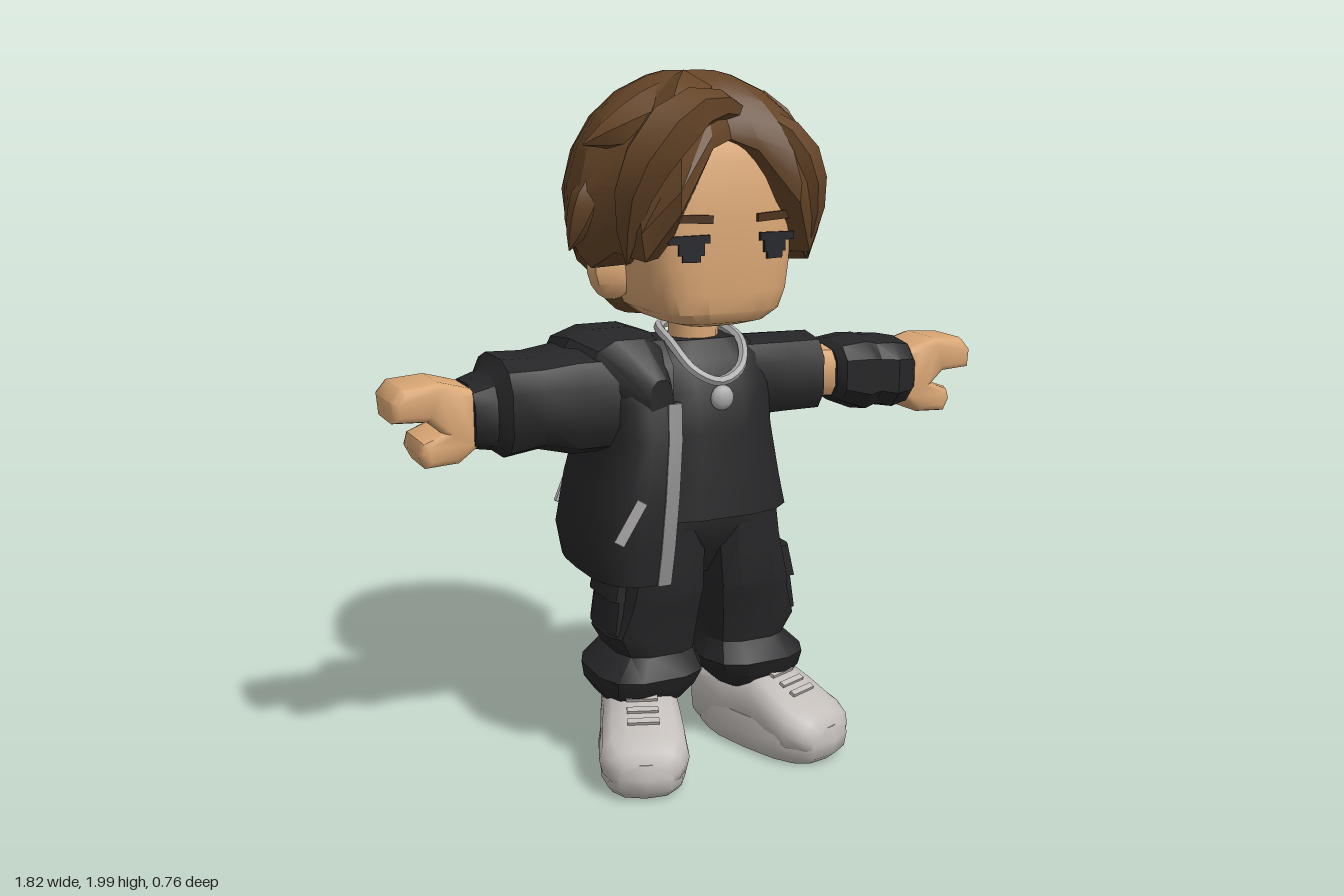
import * as THREE from 'three';
import { toCreasedNormals } from 'three/addons/utils/BufferGeometryUtils.js';

const V = (x, y, z) => new THREE.Vector3(x, y, z);
const mat = (name, color) => new THREE.MeshStandardMaterial({ name, color });

// Skin through rows of points; optionally wraps around and closes the ends.
function loft(rows, closed = true, caps = true) {
  const n = rows[0].length, pos = [], idx = [];
  rows.forEach(r => r.forEach(p => pos.push(p.x, p.y, p.z)));
  for (let r = 0; r < rows.length - 1; r++) {
    for (let i = 0; i < (closed ? n : n - 1); i++) {
      const a = r * n + i, b = r * n + (i + 1) % n;
      idx.push(a, a + n, b, b, a + n, b + n);
    }
  }
  if (caps) [0, rows.length - 1].forEach(r => {
    const c = rows[r].reduce((s, p) => s.add(p), V(0, 0, 0)).divideScalar(n);
    const k = pos.length / 3;
    pos.push(c.x, c.y, c.z);
    for (let i = 0; i < n; i++) {
      const a = r * n + i, b = r * n + (i + 1) % n;
      if (r) idx.push(k, b, a); else idx.push(k, a, b);
    }
  });
  const g = new THREE.BufferGeometry();
  g.setAttribute('position', new THREE.Float32BufferAttribute(pos, 3));
  g.setIndex(idx);
  return g;
}

// Rounded-square sections along an axis, in ascending order.
// y: [y, cx, cz, hx, hz]   x: [x, cy, cz, hy, hz]   z: [z, cx, cy, hx, hy]
function tube(axis, sections, n = 12, p = 3) {
  const pw = v => Math.sign(v) * Math.abs(v) ** (2 / p);
  return loft(sections.map(([s, c1, c2, h1, h2]) => Array.from({ length: n }, (_, i) => {
    const a = (i + 0.5) / n * Math.PI * 2, c = pw(Math.cos(a)), d = pw(Math.sin(a));
    if (axis === 'y') return V(c1 + h1 * c, s, c2 + h2 * d);
    if (axis === 'x') return V(s, c1 + h1 * d, c2 + h2 * c);
    return V(c1 + h1 * d, c2 + h2 * c, s);
  })));
}

// Tapered strand along a path.
function strand(points, radius) {
  const curve = new THREE.CatmullRomCurve3(points.map(p => V(...p)));
  const g = new THREE.TubeGeometry(curve, 7, radius, 6), q = g.attributes.position;
  for (let i = 0; i < q.count; i++) {
    const t = Math.floor(i / 7) / 7, c = curve.getPointAt(t);
    const w = t < 0.4 ? 0.3 + 1.75 * t : 1.03 - ((t - 0.4) / 0.6) ** 2;
    const v = V(0, 0, 0).fromBufferAttribute(q, i).sub(c).multiplyScalar(w).add(c);
    q.setXYZ(i, v.x, v.y, v.z);
  }
  return g;
}

function mirrored(geo) {
  const g = geo.index ? geo.toNonIndexed() : geo.clone(), q = g.attributes.position;
  for (let i = 0; i < q.count; i += 3) {
    const [a, b, c] = [0, 1, 2].map(k => V(0, 0, 0).fromBufferAttribute(q, i + k));
    [a, c, b].forEach((v, k) => q.setXYZ(i + k, -v.x, v.y, v.z));
  }
  return g;
}

export function createModel() {
  const root = new THREE.Group();
  root.name = 'figure';
  const skin = mat('skin', 0xd9a674), brown = mat('hair brown', 0x644427);
  const black = mat('black cloth', 0x262628), grey = mat('shoe grey', 0xc2bdb9);
  const silver = mat('silver', 0xacaaaa), metal = mat('zip grey', 0x8c8a8a), tape = mat('zip tape', 0x5a5858);
  const dark = mat('eye dark', 0x27282d), browMat = mat('brow brown', 0x4c331c);

  const add = (name, geo, m, crease = 0.65) => {
    const g = geo.index ? geo.toNonIndexed() : geo;
    g.deleteAttribute('uv');
    const mesh = new THREE.Mesh(toCreasedNormals(g, crease), m);
    mesh.name = name;
    root.add(mesh);
  };
  const pair = (name, geo, m, crease) => {
    add('left' + name, geo, m, crease);
    add('right' + name, mirrored(geo), m, crease);
  };

  // Head and face
  add('head', tube('y', [[1.3, 0, .05, .09, .12], [1.315, 0, .04, .145, .18], [1.345, 0, .037, .187, .207],
    [1.4, 0, .033, .21, .215], [1.47, 0, .03, .22, .22], [1.6, 0, .03, .23, .22], [1.75, 0, .03, .22, .2],
    [1.82, 0, .02, .19, .185], [1.9, 0, 0, .12, .12]], 24, 4), skin);
  add('neck', new THREE.CylinderGeometry(.07, .075, .18, 10).translate(0, 1.25, 0), skin);
  pair('Ear', new THREE.SphereGeometry(1, 10, 8).scale(.07, .09, .055).rotateZ(-.15).translate(.242, 1.45, -.03), skin);
  const plate = (w, h, x, y, z, tilt = 0) =>
    new THREE.BoxGeometry(w, h, .009).rotateZ(tilt).rotateY(.18).translate(x, y, z);
  pair('EyeLid', plate(.115, .022, .132, 1.55, .249, -.03), dark);
  pair('Iris', plate(.072, .04, .125, 1.528, .249), dark);
  pair('IrisBase', plate(.05, .02, .125, 1.5, .249), dark);
  pair('Brow', plate(.125, .022, .128, 1.605, .249, .04), browMat);

  // Hair cap: [radius, hem height] every 15 degrees, from the front round by the left
  const cols = [[.285, 1.81], [.31, 1.78], [.36, 1.64], [.375, 1.5], [.365, 1.47], [.36, 1.54], [.375, 1.48], [.365, 1.51],
    [.375, 1.46], [.375, 1.42], [.39, 1.44], [.38, 1.41], [.39, 1.42], [.38, 1.4], [.39, 1.44], [.375, 1.42],
    [.375, 1.46], [.37, 1.51], [.385, 1.5], [.405, 1.47], [.4, 1.52], [.415, 1.5], [.41, 1.63], [.34, 1.79]].reverse();
  const hairRow = (t, inset) => cols.map(([r, hem], i) => {
    const a = (23 - i) * Math.PI / 12, y = hem + (1.99 - hem) * Math.sin(t * Math.PI / 2);
    const u = (y - 1.62) / .375, lean = u > 0 ? .045 * u * u : 0;
    const f = r * inset * (u > 0 ? Math.sqrt(Math.max(0, 1 - u * u)) : 1 + u * .2);
    return V(Math.sin(a) * f - lean * .8, y, Math.cos(a) * f + lean);
  });
  add('hairCap', loft([hairRow(0, .55), hairRow(0, .97), ...[.1, .25, .4, .55, .7, .85, .95].map(t => hairRow(t, 1))]),
    brown, .4);
  add('napeHair', tube('y', [[1.31, 0, -.14, .17, .09], [1.34, 0, -.14, .2, .11], [1.46, 0, -.15, .22, .15]], 12, 3), brown);
  [
    [[[.04, 1.88, .2], [-.1, 1.9, .27], [-.23, 1.82, .3], [-.3, 1.68, .27], [-.3, 1.49, .22]], .075],
    [[[0, 1.91, .05], [-.18, 1.87, .15], [-.31, 1.83, .17], [-.39, 1.8, .15]], .08],
    [[[.05, 1.88, .17], [.14, 1.84, .23], [.22, 1.7, .25], [.24, 1.48, .22]], .06],
    [[[-.31, 1.76, .1], [-.365, 1.63, .1], [-.41, 1.52, .09]], .05],
    [[[.02, 1.92, -.05], [-.08, 1.91, .12], [-.18, 1.85, .26], [-.23, 1.73, .32]], .085],
    [[[.06, 1.9, -.1], [.13, 1.89, .04], [.21, 1.81, .15], [.28, 1.66, .18]], .065],
  ].forEach(([p, r], i) => add('hairLock' + (i + 1), strand(p, r), brown, .8));

  // Shirt, arms and hands
  add('shirt', tube('y', [[.76, 0, .012, .25, .212], [.85, 0, .01, .232, .202], [1, 0, .01, .207, .183],
    [1.12, 0, .01, .205, .163], [1.2, 0, 0, .2, .13], [1.25, 0, 0, .14, .09]], 16, 3), black);
  add('shirtSleeve', tube('x', [[.08, 1.12, 0, .12, .13], [.25, 1.12, 0, .117, .13], [.37, 1.118, 0, .117, .12]], 10), black);
  pair('Arm', tube('x', [[.3, 1.12, 0, .08, .085], [.7, 1.09, 0, .075, .085]], 10), skin);
  add('armWarmer', tube('x', [[.43, 1.11, 0, .08, .095], [.45, 1.11, 0, .095, .12], [.53, 1.1, 0, .117, .13],
    [.57, 1.1, 0, .105, .12], [.62, 1.095, -.005, .112, .145], [.68, 1.095, 0, .1, .12], [.7, 1.09, 0, .08, .1]], 10), black, .5);
  const hand = new THREE.Shape([[.67, 1.16], [.72, 1.175], [.78, 1.192], [.88, 1.185], [.91, 1.15], [.905, 1.09],
    [.81, 1.085], [.775, 1.055], [.83, 1.035], [.84, 1], [.82, .96], [.73, .965], [.67, 1.01]]
    .map(p => new THREE.Vector2(...p)));
  pair('Hand', new THREE.ExtrudeGeometry(hand, { depth: .13, bevelSize: .02, bevelThickness: .03, bevelOffset: -.02, bevelSegments: 2 })
    .translate(0, 0, -.065), skin, .8);

  // Half jacket: [y, open edge x, outer x, half depth]
  const jacket = [[.6, -.21, -.37, .245], [.7, -.2, -.39, .25], [.85, -.185, -.36, .248], [1, -.165, -.32, .225],
    [1.1, -.155, -.33, .2], [1.2, -.14, -.35, .165], [1.26, -.14, -.33, .1]];
  const panel = inset => ([y, edge, outer, hz]) => Array.from({ length: 13 }, (_, i) => {
    const a = Math.PI * (.5 + i / 12), c = Math.abs(Math.cos(a)) ** (2 / 3), s = Math.sin(a);
    return V(edge + (outer - edge + inset) * c, y, (hz - inset) * Math.sign(s) * Math.abs(s) ** (2 / 3));
  });
  add('jacketBody', loft([...jacket.map(panel(.02)).reverse(), ...jacket.map(panel(0))], false, false), black);
  add('jacketSleeve', tube('x', [[-.69, 1.085, 0, .09, .115], [-.63, 1.09, 0, .105, .125], [-.6, 1.1, -.005, .138, .165],
    [-.5, 1.105, -.005, .13, .155], [-.4, 1.1, -.005, .15, .165], [-.22, 1.1, 0, .15, .16]], 12), black);
  add('jacketHood', tube('z', [[-.265, -.225, 1.08, .11, .08], [-.22, -.24, 1.12, .16, .12], [-.1, -.26, 1.205, .165, .085],
    [.03, -.27, 1.23, .145, .065], [.12, -.25, 1.19, .11, .085], [.2, -.19, 1.11, .035, .06]], 10, 2.4), black, .5);
  // Zip strips on dark hems, front and back
  [['front', 1, metal], ['back', -1, tape]].forEach(([side, s, m]) => {
    const strip = (w, d, out) => tube('y', jacket.slice(0, 5).map(([y, e, , hz]) => [y, e + .002, s * (hz + out), w, d]), 8, 4);
    add(side + 'Hem', strip(.023, .015, -.012), black);
    add(side + 'Zip', strip(.021, .004, .004), m);
    add(side + 'PocketZip', new THREE.BoxGeometry(.03, .135, .009).rotateZ(-.5).rotateY(-.35 * s)
      .translate(-.305, .79, .243 * s), silver);
  });

  // Necklace
  const loop = [[0, 1.145, .177], [.07, 1.175, .16], [.105, 1.24, .09], [.07, 1.275, -.07], [-.07, 1.275, -.07],
    [-.105, 1.24, .09], [-.07, 1.175, .16]].map(p => V(...p));
  add('chain', new THREE.TubeGeometry(new THREE.CatmullRomCurve3(loop, true), 36, .015, 6, true), silver, 1);
  add('pendant', new THREE.SphereGeometry(.036, 10, 8).scale(1, 1, .6).translate(0, 1.1, .187), silver, 1);

  // Trousers
  add('hips', tube('y', [[.56, 0, .01, .05, .07], [.66, 0, .01, .18, .13], [.72, 0, .01, .235, .155], [.8, 0, .01, .22, .15]], 14), black);
  pair('TrouserLeg', tube('y', [[.19, .18, -.015, .115, .14], [.235, .175, -.01, .152, .163], [.28, .168, -.005, .166, .175],
    [.34, .148, -.01, .124, .14], [.4, .162, 0, .146, .14], [.48, .145, .012, .135, .142], [.53, .138, .015, .133, .152],
    [.66, .122, .01, .122, .15], [.76, .115, .01, .115, .15]], 12), black, .5);
  const pocket = (y, h, x, w) => tube('y', [[y, x, 0, w, .1], [y + h, x - .02, 0, w, .095]], 8, 5);
  pair('CargoPocket', pocket(.41, .15, .268, .035), black);
  pair('CargoFlap', pocket(.51, .095, .262, .042), black);

  // Shoes, toes turned out
  const place = g => g.rotateY(.36).translate(.198, 0, .052);
  pair('Shoe', place(tube('z', [[-.205, 0, .105, .08, .07], [-.18, 0, .12, .11, .108], [-.05, 0, .125, .115, .115],
    [.05, 0, .125, .118, .115], [.13, 0, .11, .125, .095], [.21, 0, .095, .128, .07], [.26, 0, .085, .105, .055],
    [.285, 0, .075, .07, .035]], 14, 2.8)), grey, .9);
  const sole = (y, k) => Array.from({ length: 16 }, (_, i) => {
    const a = i / 16 * Math.PI * 2, c = Math.cos(a), s = Math.sin(a), e = 2 / 2.8;
    return V(Math.sign(c) * Math.abs(c) ** e * (.126 + .014 * s) * k, y, .04 + Math.sign(s) * Math.abs(s) ** e * .262 * k);
  });
  pair('Sole', place(loft([sole(0, .86), sole(.025, .97), sole(.07, 1), sole(.11, .95)])), grey, .9);
  [[.09, .226], [.13, .207], [.17, .19]].forEach(([z, y], i) =>
    pair('Lace' + (i + 1), place(new THREE.BoxGeometry(.09, .01, .018).rotateX(.4).translate(0, y, z)), grey));

  return root;
}
